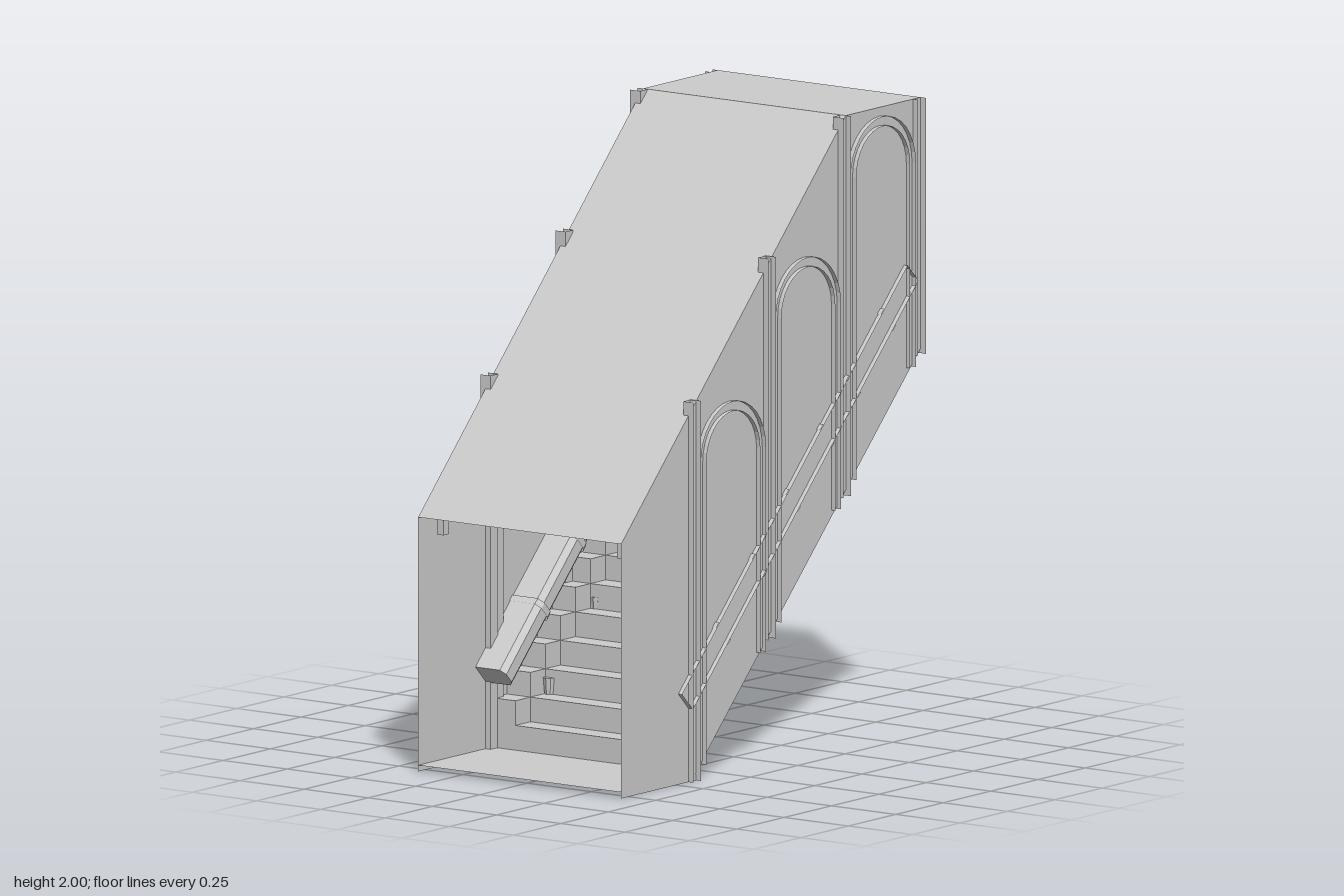
import * as THREE from 'three';

const mat = new THREE.MeshStandardMaterial({ color: 0xcccccc, flatShading: true, side: THREE.DoubleSide });
const STEPS = 15, RISE = 1.18 / STEPS, RUN = 1.19 / STEPS;
const WALL = 0.395;

function add(parent, geo, name) {
  const m = new THREE.Mesh(geo, mat);
  m.name = name;
  parent.add(m);
  return m;
}

function surface(rows, caps = []) {
  // skin neighbouring rows of points, and close listed rows with a fan
  const pos = rows.flat(2), w = rows[0].length, idx = [];
  for (let i = 0; i < rows.length - 1; i++)
    for (let j = 0; j < w - 1; j++) {
      const a = i * w + j, b = a + 1, c = a + w, d = c + 1;
      idx.push(a, b, d, a, d, c);
    }
  for (const r of caps) for (let j = 1; j < w - 1; j++) idx.push(r * w, r * w + j, r * w + j + 1);
  const g = new THREE.BufferGeometry();
  g.setAttribute('position', new THREE.Float32BufferAttribute(pos, 3));
  g.setIndex(idx);
  g.computeVertexNormals();
  return g;
}

// ribbon following a [z, y] path from x0 to x1
const ribbon = (path, x0, x1) => surface(path.map(([z, y]) => [[x0, y, z], [x1, y, z]]));

// open channel: section of [x, offset] swept along a [z, y] path
function sweep(section, path, side, capped) {
  const rows = path.map(([z, y], i) => {
    const a = path[Math.max(i - 1, 0)], b = path[Math.min(i + 1, path.length - 1)];
    const l = Math.hypot(b[0] - a[0], b[1] - a[1]);
    const nz = -(b[1] - a[1]) / l, ny = (b[0] - a[0]) / l;
    return section.map(([u, v]) => [side * u, y + ny * v, z + nz * v]);
  });
  return surface(rows, capped ? [0, rows.length - 1] : []);
}

// flat panel in the side plane from a [z, y] outline
function panel(outline, x) {
  const g = new THREE.ShapeGeometry(new THREE.Shape(outline.map(([z, y]) => new THREE.Vector2(-z, y))));
  g.rotateY(Math.PI / 2);
  g.translate(x, 0, 0);
  return g;
}

function stairPath(count, lift) {
  const p = [[0.4, 0.02 + lift]];
  for (let i = 0; i < count; i++) {
    const z = 0.4 - RUN * i, y = 0.02 + lift + RISE * (i + 1);
    p.push([z, y], [z - RUN, y]);
  }
  return p;
}

export function createModel() {
  const g = new THREE.Group();
  g.name = 'coveredStairway';

  // shell
  add(g, ribbon([[0.79, 0.81], [-0.395, 2], [-0.79, 2]], -WALL, WALL), 'roof');
  add(g, ribbon([[0.79, 0.02], [0.4, 0.02]], -WALL, WALL), 'floor');
  add(g, ribbon(stairPath(STEPS, 0), -WALL, WALL), 'stairs');

  const channel = (inner, outer, h) => [[outer, -h], [inner, -h], [inner, h], [outer, h]];
  const postZ = [0.415, 0.02, -0.375, -0.77];
  const postTop = [1.21, 1.61, 2, 2];

  for (const s of [1, -1]) {
    const side = new THREE.Group();
    side.name = s > 0 ? 'leftSide' : 'rightSide';
    g.add(side);

    add(side, panel([[0.79, 0.02], [0.79, 0.81], [-0.395, 2], [-0.79, 2], [-0.79, 1.2], [0.4, 0.02]], s * WALL), 'wall');
    add(side, panel([[0.79, 0], [0.79, 0.02], [0.37, 0.02], [0.37, 0]], s * 0.395), 'floorSkirt');

    // stepped curb beside the treads
    const upper = stairPath(STEPS - 1, RISE), lower = stairPath(STEPS - 1, 0);
    add(side, ribbon(upper, s * 0.305, s * WALL), 'curbTop');
    add(side, panel([...lower, ...upper.reverse()], s * 0.305), 'curbFace');

    postZ.forEach((z, i) => {
      // posts, open on the outside, with a bracket at the head
      add(side, sweep(channel(0.375, 0.415, 0.02), [[z, 0.415 - z], [z, postTop[i]]], s), 'post');
      add(side, new THREE.BoxGeometry(0.03, 0.04, 0.03), 'postBracket')
        .position.set(s * 0.36, postTop[i] - 0.04 - (i < 3 ? 0.03 : 0), z);
      if (i === 3) return;

      // round arch between this post and the next
      const c = z - 0.1975, r = 0.157, spring = postTop[i] - 0.2;
      const path = [[c + r, 0.42 - c - r]];
      for (let k = 0; k <= 16; k++) {
        const a = Math.PI * k / 16;
        path.push([c + r * Math.cos(a), spring + r * Math.sin(a)]);
      }
      path.push([c - r, 0.42 - c + r]);
      add(side, sweep(channel(0.38, 0.41, 0.015), path, s), 'arch');
    });

    // brackets under the front edge of the roof
    add(side, new THREE.BoxGeometry(0.06, 0.03, 0.03), 'frontBracket').position.set(s * 0.36, 0.84, 0.72);
    add(side, new THREE.BoxGeometry(0.025, 0.08, 0.03), 'frontBracketLeg').position.set(s * 0.35, 0.79, 0.72);

    // sloping handrail with chamfered inner edge, and its joint collars
    const rail = [[0.41, -0.04], [0.3, -0.04], [0.285, -0.02], [0.285, 0.02], [0.3, 0.04], [0.41, 0.04]];
    const at = z => [z, 0.72 - z];
    add(side, sweep(rail, [at(0.46), at(-0.73)], s, true), 'handrail');
    const collar = rail.map(([u, v]) => [u < 0.4 ? u - 0.004 : u, v * 1.1]);
    for (const z of [0.27, 0.08, -0.1, -0.28, -0.415, -0.6])
      add(side, sweep(collar, [at(z + 0.008), at(z - 0.008)], s), 'railCollar');

    // small fixings at the foot of the curb
    for (const [z, y] of [[0.24, 0.2], [-0.01, 0.42], [-0.31, 0.74]])
      add(side, new THREE.CylinderGeometry(0.02, 0.015, 0.06, 8), 'curbFixing').position.set(s * 0.29, y, z);
  }
  return g;
}
